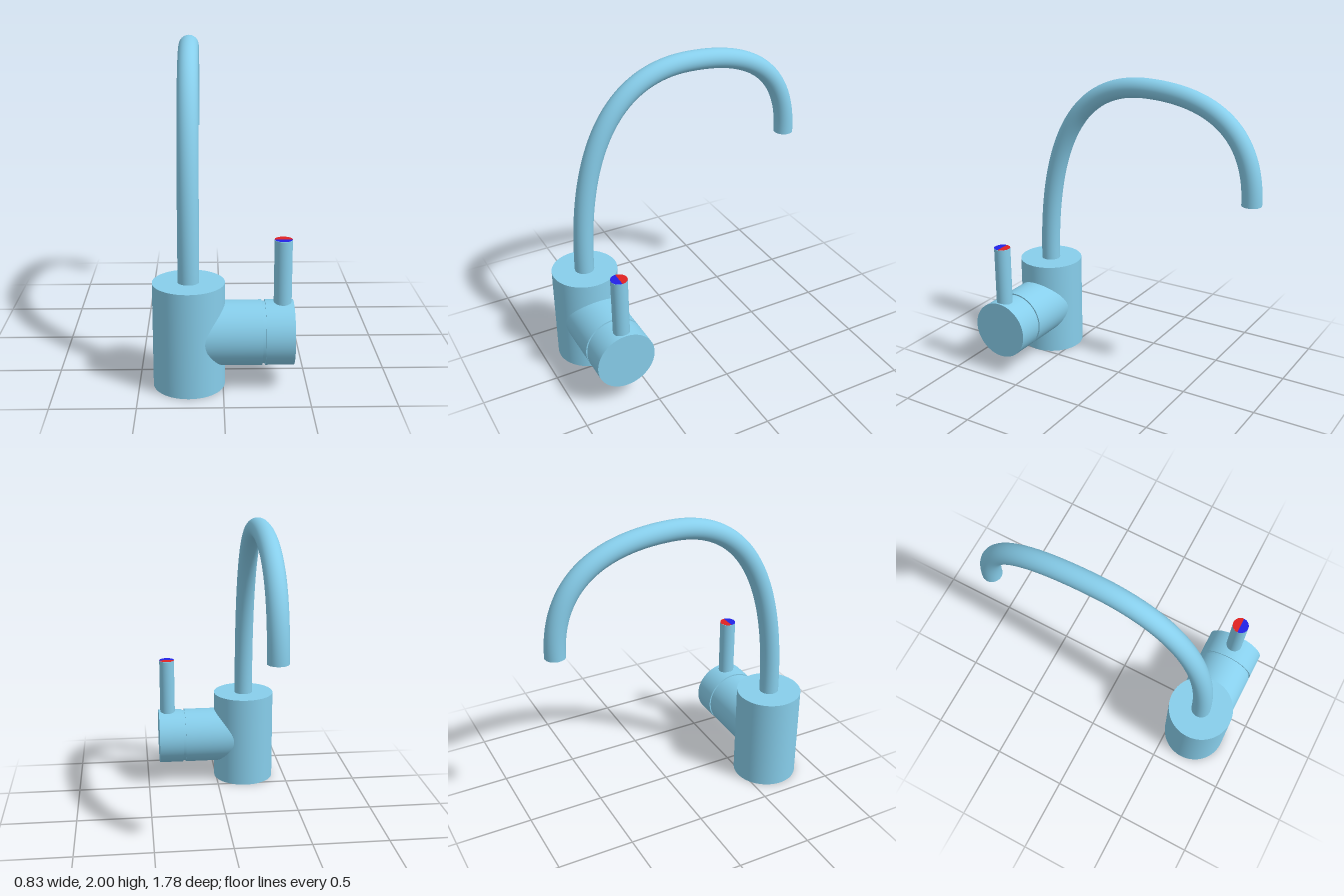
import * as THREE from 'three';

const X = -0.203, Z = 0.68; // body axis

export function createModel() {
  const group = new THREE.Group();
  const metal = new THREE.MeshStandardMaterial({ color: 0x87ceeb });
  const openMetal = new THREE.MeshStandardMaterial({ color: 0x87ceeb, side: THREE.DoubleSide });
  const red = new THREE.MeshStandardMaterial({ color: 0xe02222 });
  const blue = new THREE.MeshStandardMaterial({ color: 0x2222e6 });

  const add = (name, geometry, x, y, z, material = metal) => {
    const mesh = new THREE.Mesh(geometry, material);
    mesh.name = name;
    mesh.position.set(x, y, z);
    group.add(mesh);
  };
  const cylinder = (r, h) => new THREE.CylinderGeometry(r, r, h, 64);

  // Upright body
  add('body', cylinder(0.214, 0.645), X, 0.3225, Z);

  // Side valve: sleeve, narrow groove and turning knob along x
  const valve = (name, r, x0, x1) =>
    add(name, cylinder(r, x1 - x0).rotateZ(-Math.PI / 2), (x0 + x1) / 2, 0.325, 0.678);
  valve('valveSleeve', 0.193, X, 0.229);
  valve('valveGroove', 0.184, 0.22, 0.26);
  valve('valveKnob', 0.193, 0.248, 0.417);

  // Lever with a two-colour marker on top
  const leverX = 0.352, leverZ = 0.677;
  add('lever', cylinder(0.053, 0.5), leverX, 0.65, leverZ);
  const half = (start) =>
    new THREE.CircleGeometry(0.053, 32, start, Math.PI).rotateX(-Math.PI / 2);
  add('hotMarker', half(0), leverX, 0.902, leverZ, red);
  add('coldMarker', half(Math.PI), leverX, 0.902, leverZ, blue);

  // Swan-neck spout, open at the tip: two arcs meeting at the crest
  const v = (y, z) => new THREE.Vector3(0, y, z);
  const top = 1.937, crest = -0.08, tipZ = -0.827;
  const path = new THREE.CurvePath();
  path.add(new THREE.QuadraticBezierCurve3(v(0.645, Z), v(top, Z), v(top, crest)));
  path.add(new THREE.QuadraticBezierCurve3(v(top, crest), v(top, tipZ), v(1.295, tipZ)));
  add('spout', new THREE.TubeGeometry(path, 96, 0.0635, 32), X, 0, 0, openMetal);

  return group;
}
